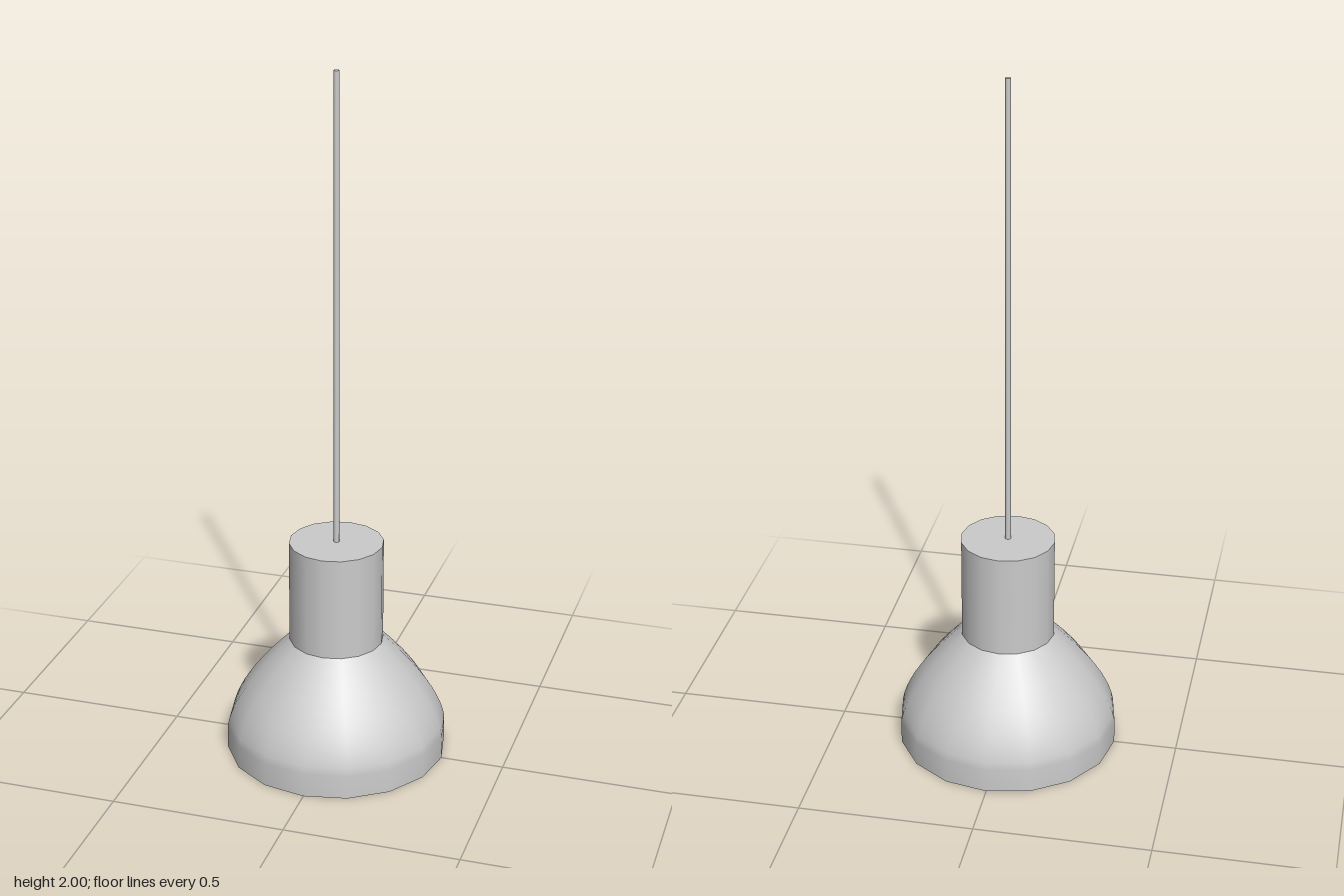
import * as THREE from 'three';

const SIDES = 16;
const material = new THREE.MeshStandardMaterial({ color: 0xcccccc });

function addPart(parent, name, geometry, y = 0) {
  const mesh = new THREE.Mesh(geometry, material);
  mesh.name = name;
  mesh.position.y = y;
  parent.add(mesh);
}

// Straight lip, then a bell curve up to the neck
function bellProfile(lipRadius, lipY, neckRadius, neckY) {
  const curve = new THREE.QuadraticBezierCurve(
    new THREE.Vector2(lipRadius, lipY),
    new THREE.Vector2(lipRadius - 0.018, lipY + 0.11),
    new THREE.Vector2(neckRadius, neckY)
  );
  return [new THREE.Vector2(lipRadius, 0), ...curve.getPoints(10)];
}

export function createModel() {
  const model = new THREE.Group();
  model.name = 'pendantLamp';

  // Hollow shade: outer wall, inner wall and the flat rim joining them
  const shade = new THREE.Group();
  shade.name = 'shade';
  const outer = bellProfile(0.318, 0.07, 0.135, 0.345);
  const inner = bellProfile(0.303, 0.066, 0.122, 0.335);
  inner.push(new THREE.Vector2(0.122, 0.345));
  addPart(shade, 'shadeOuter', new THREE.LatheGeometry(outer, SIDES));
  addPart(shade, 'shadeInner', new THREE.LatheGeometry([...inner].reverse(), SIDES));
  addPart(shade, 'shadeRim', new THREE.LatheGeometry([inner[0], outer[0]], SIDES));
  model.add(shade);

  // Socket housing closes the top of the shade
  addPart(model, 'socketHousing', new THREE.CylinderGeometry(0.135, 0.135, 0.303, SIDES), 0.345 + 0.303 / 2);

  // Hanging cord
  addPart(model, 'cord', new THREE.CylinderGeometry(0.008, 0.008, 1.352, SIDES), 0.648 + 1.352 / 2);

  return model;
}
